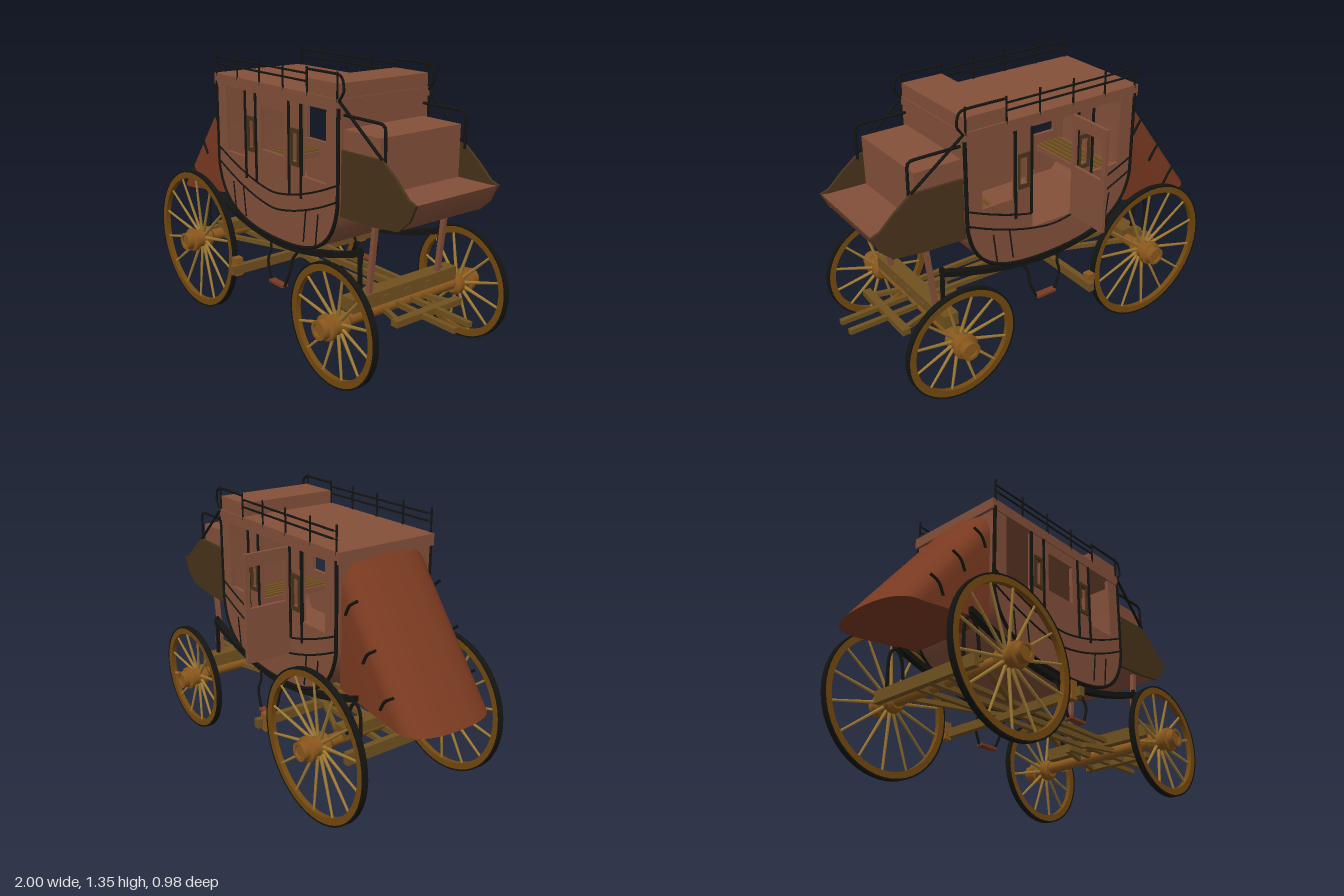
import * as THREE from 'three';
import { toCreasedNormals } from 'three/addons/utils/BufferGeometryUtils.js';
import { ConvexGeometry } from 'three/addons/geometries/ConvexGeometry.js';

const mat = (color) => new THREE.MeshStandardMaterial({ color, side: THREE.DoubleSide });
const BODY = mat(0x84503a), LEATHER = mat(0x7a3a20), DARK = mat(0x48331a), BLACK = mat(0x141412);
const RIM = mat(0x75490f), SPOKE = mat(0xa07a35), HUB = mat(0x8a571c), FRAME = mat(0x71511f);
const V = (x, y, z) => new THREE.Vector3(x, y, z);

export function createModel() {
  const model = new THREE.Group();
  const coach = new THREE.Group();
  coach.name = 'stagecoach';
  model.add(coach);

  const add = (name, geo, material, parent = coach) => {
    const m = new THREE.Mesh(geo, material);
    m.name = name;
    parent.add(m);
    return m;
  };
  // Box given by its limits on each axis
  const box = (name, x0, x1, y0, y1, z0, z1, material) => {
    const m = add(name, new THREE.BoxGeometry(x1 - x0, y1 - y0, z1 - z0), material);
    m.position.set((x0 + x1) / 2, (y0 + y1) / 2, (z0 + z1) / 2);
    return m;
  };
  // Square bar between two points
  const bar = (name, a, b, w, material) => {
    const m = add(name, new THREE.BoxGeometry(w, w, a.distanceTo(b)), material);
    m.position.copy(a).add(b).multiplyScalar(0.5);
    m.lookAt(b);
  };
  const tube = (name, pts, r, material = BLACK, tension = 0.5) =>
    add(name, new THREE.TubeGeometry(new THREE.CatmullRomCurve3(pts, false, 'catmullrom', tension), pts.length * 6, r, 6), material);
  const poly = (pts) => new THREE.Shape(pts.map((p) => new THREE.Vector2(p[0], p[1])));
  const rect = (x0, x1, y0, y1) => poly([[x0, y0], [x1, y0], [x1, y1], [x0, y1]]);
  // Extrusion along z, centred on z
  const slab = (name, shape, z, depth, material) => {
    const geo = new THREE.ExtrudeGeometry(shape, { depth, bevelEnabled: false, curveSegments: 16 });
    geo.translate(0, 0, z - depth / 2);
    return add(name, toCreasedNormals(geo, 0.6), material);
  };

  // Cabin outline: upright ends and a rounded hull
  const outline = (d) => {
    const s = new THREE.Shape();
    s.moveTo(-0.485 + d, 1.2 - d);
    s.lineTo(-0.485 + d, 0.78);
    s.bezierCurveTo(-0.46 + d, 0.56 + d, -0.27, 0.485 + d, 0.03, 0.485 + d);
    s.bezierCurveTo(0.3, 0.485 + d, 0.47 - d, 0.54 + d, 0.49 - d, 0.78);
    s.lineTo(0.49 - d, 1.2 - d);
    return s;
  };
  const shell = outline(0);
  shell.holes.push(outline(0.02));
  slab('cabinShell', shell, 0, 0.5, BODY);

  // Side walls with windows; the door opening is on one side
  const windows = [[-0.4, -0.225, 0.845, 1.18], [0.225, 0.405, 0.845, 1.18], [-0.2, -0.155, 0.905, 1.04], [0.155, 0.2, 0.905, 1.04]];
  for (const s of [1, -1]) {
    const wall = outline(0);
    windows.forEach((w) => wall.holes.push(rect(...w)));
    wall.holes.push(s > 0 ? rect(-0.095, 0.092, 0.91, 1.12) : rect(-0.125, 0.125, 0.66, 1.175));
    slab('sideWall', wall, s * 0.255, 0.02, BODY);

    // Black mouldings
    const z = s * 0.266;
    tube('cabinEdge', outline(0.003).getPoints(14).map((p) => V(p.x, p.y, z)), 0.009, BLACK, 0.1);
    for (const x of [-0.225, -0.135, 0.135, 0.225]) box('pillarStrip', x - 0.006, x + 0.006, 0.74, 1.18, z - 0.006, z + 0.006, BLACK);
    for (const [end, mid] of [[0.86, 0.72], [0.785, 0.64]]) {
      const belt = (x) => V(x, mid + (end - mid) * Math.pow(Math.abs(x) / 0.485, 1.6), z);
      const gap = s < 0 && mid > 0.65;
      const spans = gap ? [[-0.485, -0.135], [0.135, 0.485]] : [[-0.485, 0.485]];
      for (const [a, b] of spans)
        tube('beltMoulding', [0, 1, 2, 3, 4, 5, 6, 7, 8].map((i) => belt(a + (b - a) * i / 8)), 0.005);
    }
    for (const q of [-1, 1]) for (const x of [0.26, 0.35])
      bar('hullStrip', V(q * x, 0.695, z), V(q * (x - 0.02), 0.535, z), 0.006, BLACK);
    for (const x of [-0.1775, 0.1775]) {
      const frame = rect(x - 0.032, x + 0.032, 0.885, 1.06);
      frame.holes.push(rect(x - 0.022, x + 0.022, 0.905, 1.04));
      slab('smallWindowFrame', frame, z, 0.012, DARK);
    }
  }

  // Open door, swung square to the cabin
  const doorShape = rect(0, 0.235, 0.655, 1.175);
  doorShape.holes.push(rect(0.022, 0.21, 0.92, 1.115));
  const door = slab('openDoor', doorShape, 0, 0.018, BODY);
  door.rotation.y = Math.PI / 2;
  door.position.set(-0.112, 0, -0.262);

  // Interior
  box('cabinFloor', -0.4, 0.4, 0.6, 0.62, -0.24, 0.24, BODY);
  for (const s of [-1, 1]) {
    const bench = box('bench', -0.09, 0.09, 0.76, 0.79, -0.24, 0.24, BODY);
    bench.position.x = s * 0.37;
    for (let i = 0; i < 5; i++) {
      const x = s * (0.3 + i * 0.032);
      box('benchSlat', x - 0.009, x + 0.009, 0.79, 0.8, -0.24, 0.24, FRAME);
    }
  }

  // Roof, roof seat and luggage rails
  box('roof', -0.5, 0.49, 1.18, 1.235, -0.27, 0.27, BODY);
  box('roofSeat', 0.27, 0.485, 1.235, 1.3, -0.262, 0.262, BODY);
  for (const s of [-1, 1]) {
    const z = s * 0.266;
    for (const x of [-0.48, -0.29, -0.1, 0.09, 0.27, 0.48]) tube('railPost', [V(x, 1.22, z), V(x, 1.35, z)], 0.005);
    for (const y of [1.285, 1.32]) tube('roofRail', [V(-0.485, y, z), V(0.27, y, z)], 0.005);
    tube('seatRail', [V(0.27, 1.34, z), V(0.48, 1.34, z), V(0.515, 1.32, z), V(0.522, 1.27, z), V(0.49, 1.225, z)], 0.006, BLACK, 0.3);
    tube('seatBrace', [V(0.49, 1.23, z), V(0.745, 1.02, s * 0.245)], 0.007);
    tube('driverHandrail', [V(0.49, 1.165, s * 0.235), V(0.72, 1.165, s * 0.235), V(0.747, 1.145, s * 0.235), V(0.75, 1.0, s * 0.235)], 0.007, BLACK, 0.2);
    // Front boot side
    slab('frontBootSide', poly([[0.485, 0.715], [0.7, 0.725], [0.85, 0.745], [0.91, 0.8], [0.945, 0.875], [0.9, 0.89],
      [0.83, 0.955], [0.745, 1.02], [0.485, 1.015]]), s * 0.243, 0.014, DARK);
  }

  // Driver seat and front boot
  box('driverSeat', 0.49, 0.72, 0.85, 1.105, -0.236, 0.236, BODY);
  slab('frontBoot', poly([[0.485, 0.718], [0.7, 0.728], [0.85, 0.748], [0.908, 0.803], [0.94, 0.875], [0.9, 0.87], [0.485, 0.86]]), 0, 0.475, BODY);

  // Leather rear boot: slanting barrel with a level lower edge
  const pts = [V(-0.48, 0.6, 0.24), V(-0.48, 0.6, -0.24)];
  const bootX = (a) => -0.86 - 0.14 * Math.pow(Math.cos(a), 0.8);
  const topY = (x) => 0.545 - (x + 0.48) * 1.3;
  for (let i = 0; i <= 20; i++) {
    const a = (i / 20 - 0.5) * Math.PI * 0.9999;
    const x = bootX(a), z = 0.24 * Math.sign(a) * Math.pow(Math.abs(Math.sin(a)), 0.8);
    pts.push(V(x, 0.545, z), V(-0.48, topY(x), z));
  }
  add('rearBoot', toCreasedNormals(new ConvexGeometry(pts), 0.5), LEATHER);
  for (const s of [-1, 1]) for (const [x, y] of [[-0.545, 1.01], [-0.67, 0.83], [-0.79, 0.66]])
    tube('bootStrap', [V(x + 0.03, y - 0.05, s * 0.243), V(x, y, s * 0.245), V(x - 0.04, y + 0.03, s * 0.235)], 0.007);

  // Wheels: rim, tyre, dished spokes and hub
  const lathe = (p, n) => toCreasedNormals(new THREE.LatheGeometry(p.map((q) => new THREE.Vector2(q[0], q[1])), n).rotateX(Math.PI / 2), 0.6);
  const ring = (ri, ro, h) => lathe([[ri, -h], [ro, -h], [ro, h], [ri, h], [ri, -h]], 48);
  const wheel = (name, x, y, r, spokes, s) => {
    const w = new THREE.Group();
    w.name = name;
    w.position.set(x, y, s * 0.402);
    if (s < 0) w.rotation.y = Math.PI;
    coach.add(w);
    add('rim', ring(r - 0.04, r - 0.005, 0.0125), RIM, w);
    add('tyre', ring(r - 0.008, r, 0.014), BLACK, w);
    add('hub', lathe([[0, -0.075], [0.04, -0.075], [0.055, -0.06], [0.055, -0.035], [0.045, -0.018], [0.045, 0.012], [0.06, 0.02],
      [0.06, 0.04], [0.045, 0.048], [0.045, 0.08], [0.03, 0.08], [0.03, 0.07], [0, 0.07]], 20), HUB, w);
    for (let i = 0; i < spokes; i++) {
      const a = ((i + 0.5) / spokes) * Math.PI * 2;
      const p0 = V(Math.cos(a) * 0.035, Math.sin(a) * 0.035, -0.025);
      const p1 = V(Math.cos(a) * (r - 0.03), Math.sin(a) * (r - 0.03), 0);
      const m = add('spoke', new THREE.CylinderGeometry(0.006, 0.009, p0.distanceTo(p1), 6), SPOKE, w);
      m.position.copy(p0).add(p1).multiplyScalar(0.5);
      m.quaternion.setFromUnitVectors(V(0, 1, 0), p1.clone().sub(p0).normalize());
    }
  };
  for (const s of [-1, 1]) {
    wheel('rearWheel', -0.503, 0.37, 0.365, 14, s);
    wheel('frontWheel', 0.622, 0.293, 0.282, 12, s);
  }

  // Undercarriage
  const axle = (name, x, y) => add(name, new THREE.CylinderGeometry(0.03, 0.03, 0.7, 12).rotateX(Math.PI / 2), HUB).position.set(x, y, 0);
  axle('rearAxle', -0.503, 0.37);
  axle('frontAxle', 0.622, 0.3);
  box('frontBolster', 0.585, 0.66, 0.335, 0.4, -0.32, 0.32, FRAME);
  for (const z of [-0.13, 0, 0.13]) box('bolsterBlock', 0.655, 0.666, 0.347, 0.377, z - 0.015, z + 0.015, FRAME);
  box('rearBolster', -0.54, -0.47, 0.38, 0.43, -0.26, 0.26, FRAME);
  box('rearCrossBar', -0.645, -0.615, 0.31, 0.37, -0.32, 0.32, FRAME);
  box('brakeBeam', -0.115, -0.085, 0.305, 0.35, -0.45, 0.45, FRAME);
  box('splinterBar', 0.77, 0.81, 0.29, 0.32, -0.2, 0.2, FRAME);
  bar('reach', V(-0.64, 0.345, 0), V(0.62, 0.365, 0), 0.028, FRAME);

  // Sagging suspension strap profile
  const strapLine = (offset) => Array.from({ length: 17 }, (_, i) => {
    const x = -0.61 + (1.23 * i) / 16;
    return [x, 0.465 + 0.13 * Math.pow(Math.abs(x - 0.03) / 0.62, 1.8) + offset];
  });
  const strap = poly([...strapLine(-0.014), ...strapLine(0.014).reverse()]);

  for (const s of [-1, 1]) {
    bar('sideRail', V(-0.64, 0.345, s * 0.1), V(0.62, 0.36, s * 0.07), 0.022, FRAME);
    bar('rearHound', V(-0.5, 0.36, s * 0.25), V(-0.08, 0.345, s * 0.05), 0.022, FRAME);
    bar('frontHound', V(0.43, 0.3, s * 0.06), V(0.8, 0.3, s * 0.17), 0.022, FRAME);
    bar('shaftStub', V(0.43, 0.305, s * 0.045), V(1.0, 0.307, s * 0.045), 0.024, FRAME);
    box('brakeShoe', -0.14, -0.1, 0.29, 0.38, s * 0.402 - 0.02, s * 0.402 + 0.02, HUB);
    bar('bootPost', V(0.638, 0.38, s * 0.212), V(0.675, 0.73, s * 0.212), 0.022, BODY);

    // Suspension strap and its hangers
    const z = s * 0.245;
    slab('suspensionStrap', strap, z, 0.035, BLACK);
    tube('rearHanger', [V(-0.635, 0.34, z), V(-0.635, 0.52, z), V(-0.6, 0.575, z), V(-0.56, 0.53, z), V(-0.54, 0.4, z)], 0.008);
    bar('frontHanger', V(0.62, 0.38, z), V(0.615, 0.61, z), 0.016, BLACK);

    // Boarding step on bent rods
    box('step', 0.005, 0.115, 0.267, 0.28, s * 0.285 - 0.018, s * 0.285 + 0.018, LEATHER);
    for (const [x0, x1] of [[-0.03, 0.005], [0.15, 0.115]])
      tube('stepRod', [V(x0 * 2 - x1, 0.48, s * 0.24), V(x0, 0.42, s * 0.262), V(x0, 0.36, s * 0.28), V(x1, 0.273, s * 0.287)], 0.007);
  }

  coach.position.z = 0.01;
  return model;
}
